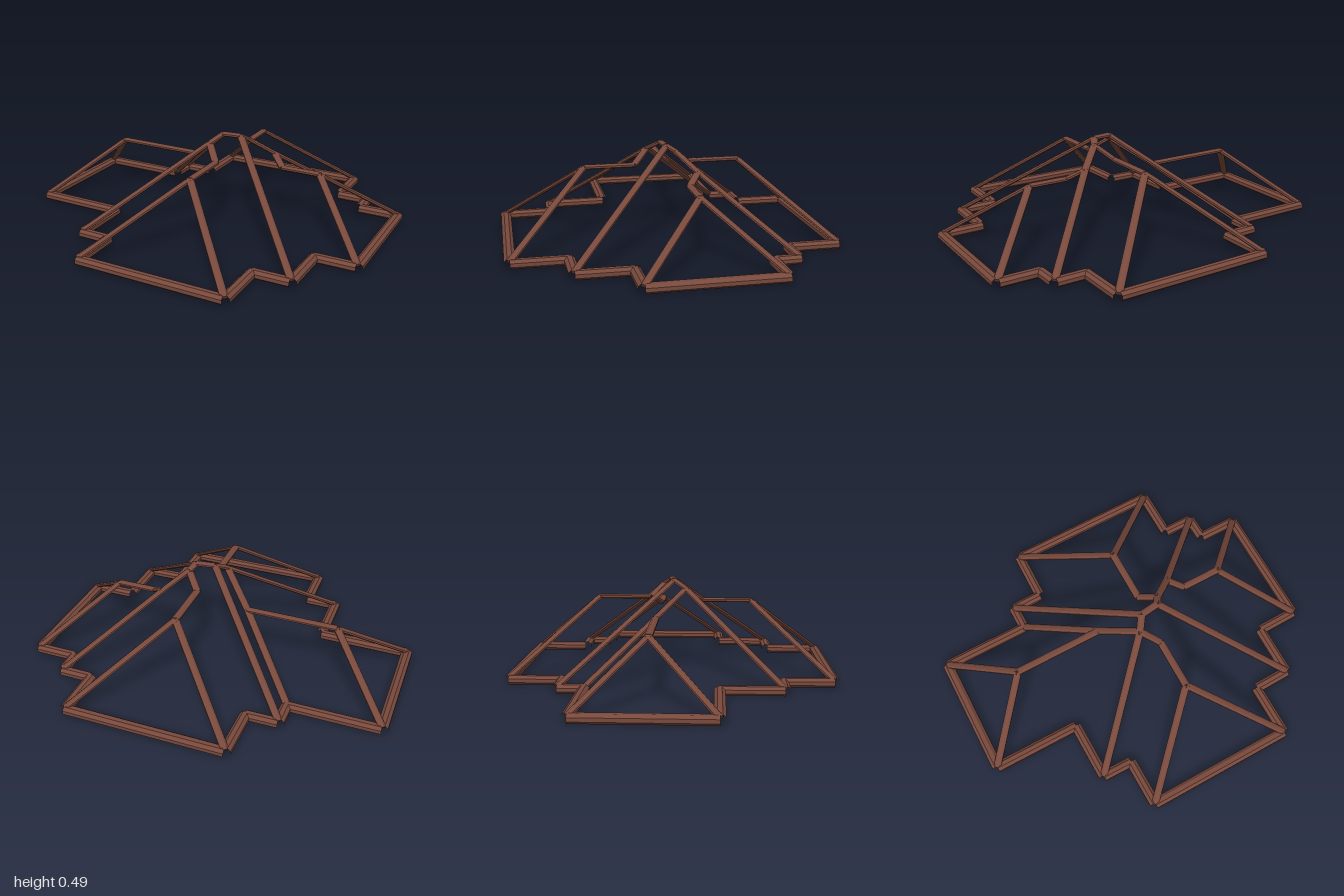
import * as THREE from 'three';

// Plan of the eaves in the roof's own axes, walked corner by corner
const eaves = [
  [-0.968, -0.43], [-0.502, -0.43], [-0.502, -0.56], [-0.338, -0.563],
  [-0.335, -0.832], [0.488, -0.834], [0.49, -0.573], [0.654, -0.573],
  [0.658, -0.443], [0.869, -0.443], [0.869, 0.218], [0.654, 0.221],
  [0.652, 0.497], [0.457, 0.501], [0.457, 0.778], [-0.333, 0.78],
  [-0.338, 0.527], [-0.5, 0.525], [-0.505, 0.215], [-0.97, 0.213],
];

// Upper joints of the frame
const joints = {
  leftEnd: [-0.65, 0.31, -0.11], leftInner: [-0.182, 0.31, -0.11],
  leftPeak: [-0.017, 0.44, 0.04],
  peakA: [0.028, 0.478, -0.024], peakB: [0.124, 0.478, -0.036],
  rightPeak: [0.257, 0.365, -0.17], rightInner: [0.331, 0.315, -0.111],
  rightEnd: [0.537, 0.315, -0.111],
  backEnd: [0.076, 0.385, -0.425], backInner: [0.076, 0.385, -0.15],
  backPeak: [0.149, 0.453, -0.078],
  frontEnd: [0.06, 0.37, 0.38], frontInner: [0.06, 0.37, 0.12],
};

// Hips and valleys rise from an eave corner (by index) to a joint
const hips = [
  [0, 'leftEnd'], [19, 'leftEnd'], [1, 'leftInner'], [2, 'peakA'],
  [4, 'backEnd'], [5, 'backEnd'], [7, 'rightPeak'], [9, 'rightEnd'],
  [10, 'rightEnd'], [12, 'peakB'], [14, 'frontEnd'], [15, 'frontEnd'],
  [17, 'leftPeak'],
];

// Ridges and short slopes join two upper joints
const ridges = [
  ['leftEnd', 'leftInner'], ['leftInner', 'leftPeak'], ['leftPeak', 'peakA'],
  ['peakA', 'peakB'], ['leftPeak', 'frontInner'], ['frontInner', 'frontEnd'],
  ['backEnd', 'backInner'], ['backInner', 'backPeak'], ['peakB', 'backPeak'],
  ['backPeak', 'rightPeak'], ['rightPeak', 'rightInner'],
  ['rightInner', 'rightEnd'],
];

export function createModel() {
  const wood = new THREE.MeshStandardMaterial({ color: 0x78493c, flatShading: true });
  wood.name = 'brown wood';
  const frame = new THREE.Group();
  frame.name = 'roofFrame';

  // Straight eight-sided beam between two points, flat on top, its width kept level
  function beam(name, a, b, halfWidth, halfHeight, open) {
    const dir = b.clone().sub(a);
    const radius = 1 / Math.cos(Math.PI / 8);
    const geo = new THREE.CylinderGeometry(radius, radius, dir.length(), 8, 1, open, Math.PI / 8);
    geo.scale(halfHeight, 1, halfWidth);
    dir.normalize();
    const across = new THREE.Vector3(0, 1, 0).cross(dir).normalize();
    const up = dir.clone().cross(across);
    const mesh = new THREE.Mesh(geo, wood);
    mesh.quaternion.setFromRotationMatrix(
      new THREE.Matrix4().makeBasis(up, dir, up.clone().cross(dir)));
    mesh.position.copy(a).add(b).multiplyScalar(0.5);
    mesh.name = name;
    frame.add(mesh);
  }

  const corner = (i, y) => {
    const [x, z] = eaves[i % eaves.length];
    return new THREE.Vector3(x, y, z);
  };
  const joint = (key) => new THREE.Vector3(...joints[key]);

  // Open-ended beams round the eaves
  eaves.forEach((_, i) =>
    beam('eaveBeam', corner(i, 0.0225), corner(i + 1, 0.0225), 0.027, 0.0225, true));

  // Slimmer, flattened beams above
  hips.forEach(([i, key]) =>
    beam('hipBeam', corner(i, 0.032), joint(key), 0.019, 0.011, false));
  ridges.forEach(([a, b]) =>
    beam('ridgeBeam', joint(a), joint(b), 0.019, 0.011, false));

  frame.rotation.y = THREE.MathUtils.degToRad(-22.25);
  const model = new THREE.Group();
  model.name = 'hippedRoofFrame';
  model.add(frame);
  return model;
}
